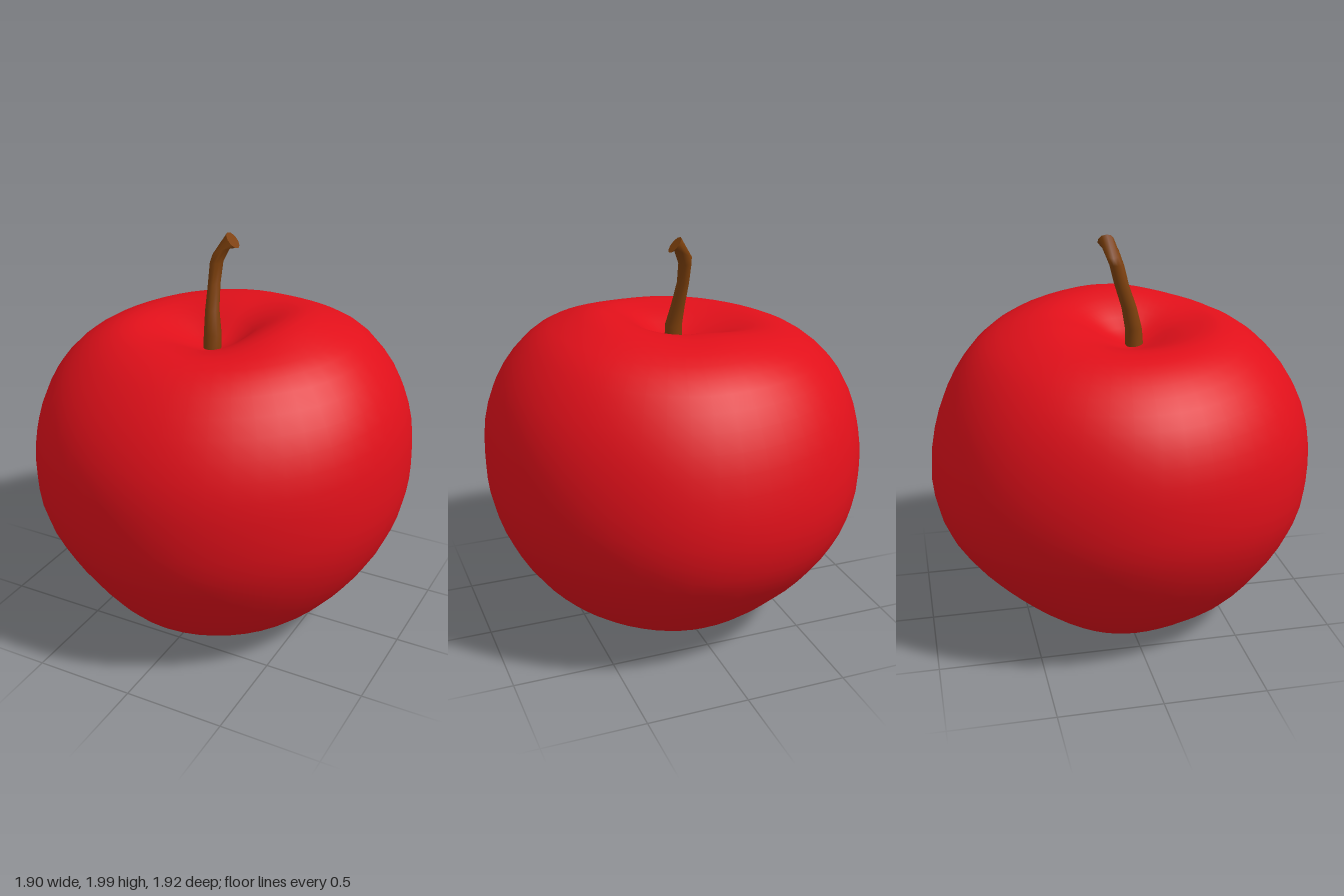
import * as THREE from 'three';
import { mergeVertices } from 'three/addons/utils/BufferGeometryUtils.js';

// Half profiles [radius, height] from the top hollow to the underside, one per direction
const profiles = {
  left: [[0, 1.44], [0.1, 1.48], [0.22, 1.58], [0.38, 1.65], [0.55, 1.61], [0.7, 1.53], [0.85, 1.35], [0.93, 1.14], [0.95, 0.9],
    [0.93, 0.7], [0.85, 0.48], [0.7, 0.26], [0.55, 0.13], [0.4, 0.07], [0.27, 0.05], [0.12, 0.1], [0, 0.13]],
  right: [[0, 1.44], [0.12, 1.46], [0.3, 1.51], [0.45, 1.54], [0.58, 1.52], [0.72, 1.44], [0.85, 1.3], [0.93, 1.11], [0.955, 0.9],
    [0.93, 0.68], [0.81, 0.43], [0.62, 0.2], [0.5, 0.1], [0.4, 0.03], [0.27, 0.01], [0.12, 0.08], [0, 0.13]],
  front: [[0, 1.44], [0.12, 1.47], [0.25, 1.52], [0.38, 1.55], [0.5, 1.56], [0.65, 1.5], [0.82, 1.33], [0.93, 1.11], [0.96, 0.87],
    [0.93, 0.63], [0.82, 0.4], [0.66, 0.18], [0.56, 0.1], [0.44, 0.05], [0.29, 0.03], [0.12, 0.09], [0, 0.13]],
  back: [[0, 1.44], [0.1, 1.48], [0.23, 1.56], [0.37, 1.59], [0.53, 1.56], [0.7, 1.47], [0.83, 1.3], [0.92, 1.08], [0.96, 0.8],
    [0.91, 0.57], [0.78, 0.38], [0.62, 0.22], [0.52, 0.13], [0.42, 0.06], [0.28, 0.03], [0.12, 0.09], [0, 0.13]],
};

function fruitGeometry() {
  const curves = {};
  for (const [name, pts] of Object.entries(profiles)) {
    curves[name] = new THREE.CatmullRomCurve3(pts.map(([r, y]) => new THREE.Vector3(r, y, 0)));
  }
  const geo = new THREE.SphereGeometry(1, 48, 40);
  const pos = geo.attributes.position;
  const uv = geo.attributes.uv;
  const p = new THREE.Vector3();
  for (let i = 0; i < pos.count; i++) {
    const t = THREE.MathUtils.clamp(1 - uv.getY(i), 0, 1);
    // Keep the angle exact across the seam and the poles
    const angle = uv.getX(i) * Math.PI * 2;
    const cx = -Math.cos(angle), cz = Math.sin(angle);
    const a = curves[cx > 0 ? 'left' : 'right'].getPoint(t);
    const b = curves[cz > 0 ? 'front' : 'back'].getPoint(t);
    p.copy(a).lerp(b, cz * cz);
    // Gentle unevenness of the skin, strongest round the middle
    const wobble = 1 + 0.007 * Math.sin(t * Math.PI) * Math.sin(2 * angle) * Math.sin(5 * angle + 7 * t);
    // The top hollow sits slightly off centre
    const shift = Math.max(0, 1 - p.x / 0.5) * (t < 0.5 ? 1 : 0);
    pos.setXYZ(i, cx * p.x * wobble - 0.03 * shift, p.y, cz * p.x * wobble + 0.05 * shift);
  }
  geo.deleteAttribute('uv');
  geo.deleteAttribute('normal');
  const merged = mergeVertices(geo, 1e-4);
  merged.computeVertexNormals();
  return merged;
}

// Bent stalk built from elliptical rings: [x, y, z, radius x, radius z, tilt]
function stemGeometry() {
  const rings = [
    [-0.03, 1.42, 0.07, 0.045, 0.045, 0], [-0.03, 1.53, 0.065, 0.044, 0.042, 0],
    [-0.045, 1.64, 0.04, 0.034, 0.038, 0], [-0.055, 1.76, 0.0, 0.029, 0.036, 0],
    [-0.055, 1.86, -0.025, 0.032, 0.036, 0], [-0.035, 1.92, -0.045, 0.048, 0.038, 0.025],
    [0.012, 1.965, -0.065, 0.03, 0.04, -0.035],
  ];
  const n = 10, verts = [], index = [];
  for (const [x, y, z, rx, rz, tilt] of rings) {
    for (let j = 0; j < n; j++) {
      const a = (j / n) * Math.PI * 2;
      verts.push(x + Math.cos(a) * rx, y + Math.cos(a) * tilt, z + Math.sin(a) * rz);
    }
  }
  for (let i = 0; i < rings.length - 1; i++) {
    for (let j = 0; j < n; j++) {
      const a = i * n + j, b = i * n + (j + 1) % n;
      index.push(a, a + n, b, b, a + n, b + n);
    }
  }
  // Cut end, with its own vertices for a crisp edge
  const last = (rings.length - 1) * n, cap = verts.length / 3;
  for (let j = 0; j < n; j++) verts.push(...verts.slice((last + j) * 3, (last + j) * 3 + 3));
  for (let j = 1; j < n - 1; j++) index.push(cap, cap + j + 1, cap + j);
  const geo = new THREE.BufferGeometry();
  geo.setAttribute('position', new THREE.Float32BufferAttribute(verts, 3));
  geo.setIndex(index);
  geo.computeVertexNormals();
  return geo;
}

export function createModel() {
  const group = new THREE.Group();
  group.name = 'apple';
  const fruit = new THREE.Mesh(fruitGeometry(), new THREE.MeshStandardMaterial({ color: 0xe0101a }));
  fruit.name = 'fruit';
  const stem = new THREE.Mesh(stemGeometry(), new THREE.MeshStandardMaterial({ color: 0x7d400c }));
  stem.name = 'stem';
  group.add(fruit, stem);
  return group;
}
